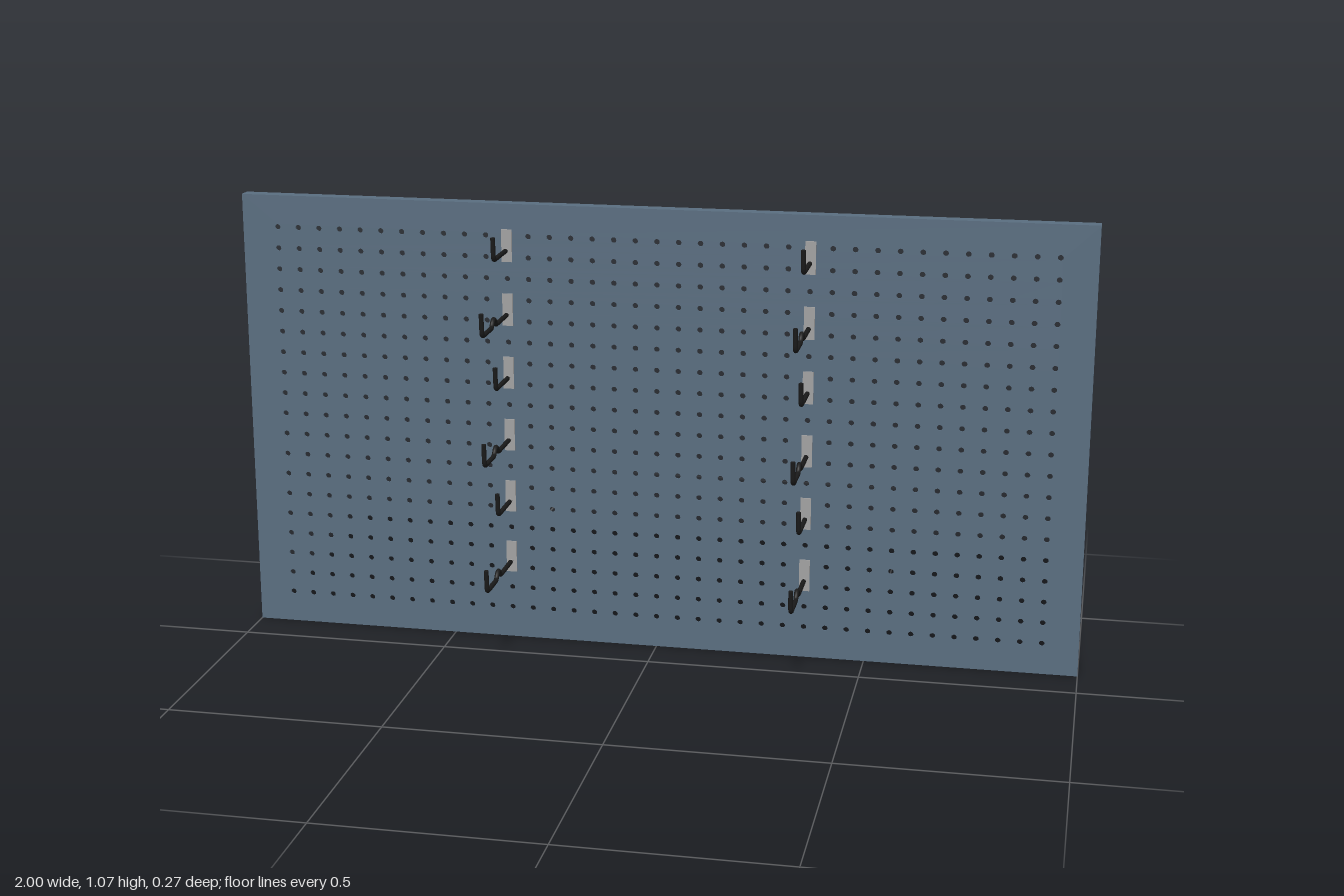
import * as THREE from 'three';

const W = 2, H = 1.066, DEPTH = 0.0325, SHEET = 0.004;
const FRONT = -0.1045, PITCH = 0.0508;

const boardMat = new THREE.MeshStandardMaterial({ name: 'slate blue', color: 0x5a6e80 });
const hookMat = new THREE.MeshStandardMaterial({ name: 'black coating', color: 0x1a1a1a });
const plateMat = new THREE.MeshStandardMaterial({ name: 'light grey metal', color: 0xa2a2a2 });

function addMesh(parent, name, geometry, material, x = 0, y = 0, z = 0) {
  const mesh = new THREE.Mesh(geometry, material);
  mesh.name = name;
  mesh.position.set(x, y, z);
  parent.add(mesh);
  return mesh;
}

// Perforated sheet with flanges folded towards the back
function createBoard() {
  const board = new THREE.Group();
  board.name = 'pegboard';

  const shape = new THREE.Shape();
  shape.moveTo(-W / 2, 0).lineTo(W / 2, 0).lineTo(W / 2, H).lineTo(-W / 2, H).closePath();
  for (let row = -9; row <= 9; row++) {
    for (let col = -18; col <= 18; col++) {
      const hole = new THREE.Path();
      hole.absarc(col * PITCH, H / 2 + row * PITCH, 0.0066, 0, Math.PI * 2, true);
      shape.holes.push(hole);
    }
  }
  const sheet = new THREE.ExtrudeGeometry(shape, { depth: SHEET, bevelEnabled: false, curveSegments: 6 });
  addMesh(board, 'perforatedSheet', sheet, boardMat, 0, 0, FRONT - SHEET);

  const rim = DEPTH - SHEET;
  const z = FRONT - SHEET - rim / 2;
  for (const s of [-1, 1]) {
    addMesh(board, s > 0 ? 'topFlange' : 'bottomFlange',
      new THREE.BoxGeometry(W, SHEET, rim), boardMat, 0, H / 2 + s * (H - SHEET) / 2, z);
    addMesh(board, s > 0 ? 'leftFlange' : 'rightFlange',
      new THREE.BoxGeometry(SHEET, H - 2 * SHEET, rim), boardMat, s * (W - SHEET) / 2, H / 2, z);
  }
  return board;
}

// Wire paths as [z, y] pairs; the long hook has a raised hump halfway
const start = [[-0.09, 0], [-0.06, 0], [-0.02, 0]];
const shortPath = [...start, [0, 0], [0.008, 0.0005], [0.0135, 0.003], [0.0165, 0.0085], [0.0175, 0.015], [0.0205, 0.053]];
const longPath = [...start, [0, 0], [0.006, 0.001], [0.011, 0.005], [0.017, 0.0125], [0.0255, 0.0165],
  [0.034, 0.0125], [0.04, 0.005], [0.045, 0.001], [0.051, 0], [0.08, 0], [0.111, 0],
  [0.119, 0.0005], [0.1245, 0.003], [0.1275, 0.0085], [0.1285, 0.015], [0.1315, 0.053]];

function createHook(path, name) {
  const hook = new THREE.Group();
  hook.name = name;
  const radius = 0.0056;
  const curve = new THREE.CatmullRomCurve3(path.map(([z, y]) => new THREE.Vector3(0, y, z)));
  addMesh(hook, 'wire', new THREE.TubeGeometry(curve, 72, radius, 12), hookMat);

  // Flat ends of the wire
  for (const t of [0, 1]) {
    const cap = addMesh(hook, 'wireEnd', new THREE.CircleGeometry(radius, 12), hookMat);
    const outward = curve.getTangent(t).multiplyScalar(t ? 1 : -1);
    cap.position.copy(curve.getPoint(t));
    cap.quaternion.setFromUnitVectors(new THREE.Vector3(0, 0, 1), outward);
  }

  // Mounting plate and the stub joining it to the wire
  addMesh(hook, 'backPlate', new THREE.BoxGeometry(0.025, 0.077, 0.003), plateMat, 0, 0.0105, FRONT + 0.0015);
  const stub = new THREE.CylinderGeometry(0.004, 0.004, 0.014, 12).rotateX(Math.PI / 2);
  addMesh(hook, 'stub', stub, plateMat, 0, 0, -0.095);
  return hook;
}

export function createModel() {
  const model = new THREE.Group();
  model.name = 'pegboardWithHooks';
  model.add(createBoard());

  // Two columns of alternating long and short hooks
  for (const side of [-1, 1]) {
    for (let i = 0; i < 6; i++) {
      const hook = i % 2 ? createHook(shortPath, 'shortHook') : createHook(longPath, 'longHook');
      hook.position.set(side * 7 * PITCH, 0.195 + i * 3 * PITCH, 0);
      model.add(hook);
    }
  }
  return model;
}
